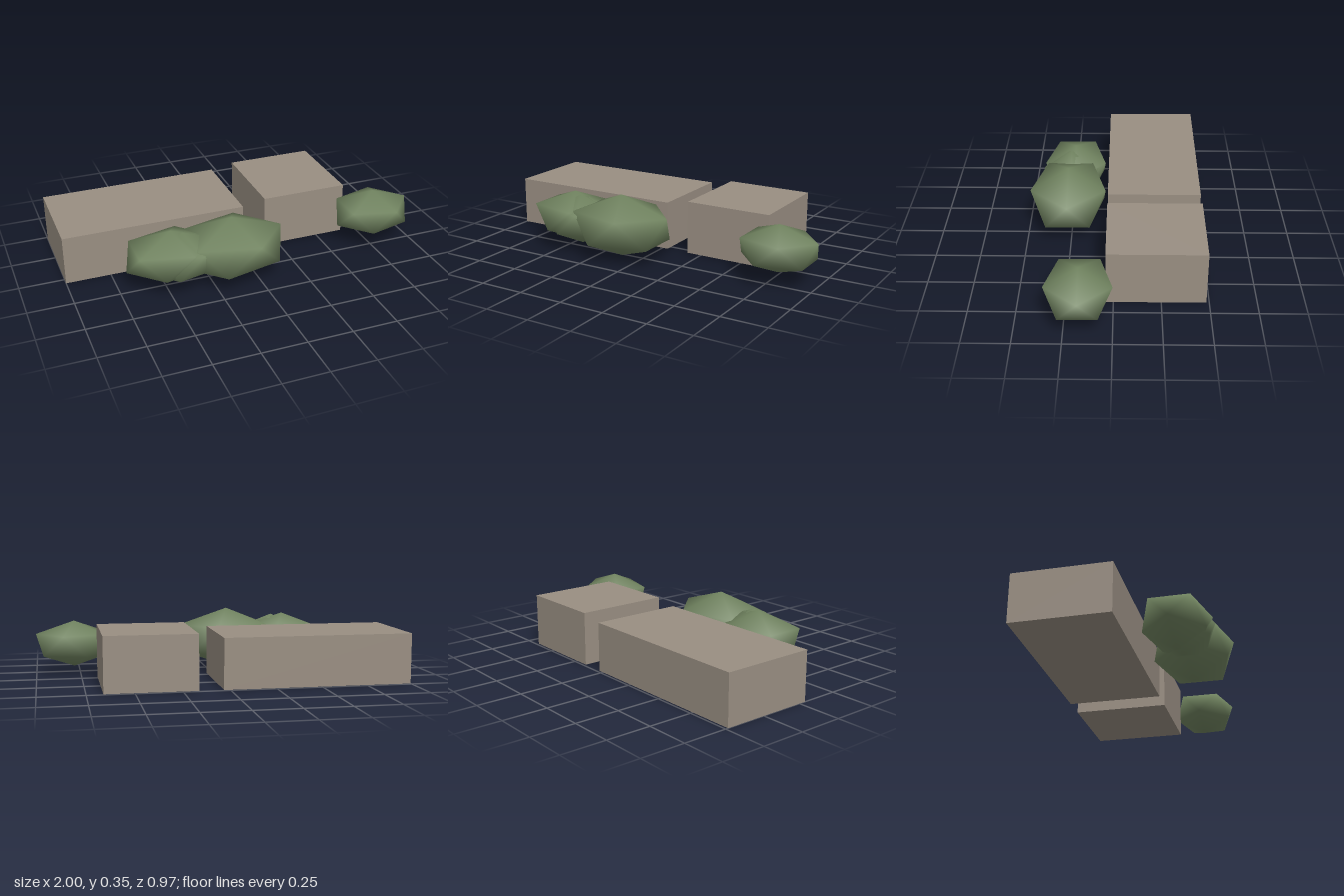
import * as THREE from 'three';

const stone = new THREE.MeshStandardMaterial({ name: 'stone', color: 0x998e82 });
const foliage = new THREE.MeshStandardMaterial({ name: 'foliage', color: 0x718460 });

// Block given by its x range and height; all share the same depth
function makeBlock(name, x0, x1, height) {
  const z0 = -0.485, z1 = 0.04;
  const mesh = new THREE.Mesh(new THREE.BoxGeometry(x1 - x0, height, z1 - z0), stone);
  mesh.position.set((x0 + x1) / 2, height / 2, (z0 + z1) / 2);
  mesh.name = name;
  return mesh;
}

// Smooth-shaded, twelve-point icosahedron with its poles upright, stretched to the radii
function makeBush(name, center, [rx, ry, rz]) {
  const points = [0, ry, 0];
  const ringRadius = 2 / Math.sqrt(5), ringHeight = 1 / Math.sqrt(5);
  for (const [side, offset, squeeze] of [[1, 0, 1], [-1, 0.5, 0.94]]) {
    for (let i = 0; i < 5; i++) {
      const a = ((i + offset) / 5) * Math.PI * 2;
      points.push(
        rx * ringRadius * Math.cos(a),
        ry * ringHeight * side,
        rz * ringRadius * Math.sin(a) * squeeze
      );
    }
  }
  points.push(0, -ry, 0);

  // Top cap, zigzag belt and bottom cap
  const faces = [];
  for (let i = 0; i < 5; i++) {
    const u = 1 + i, un = 1 + (i + 1) % 5;
    const l = 6 + i, ln = 6 + (i + 1) % 5;
    faces.push(0, un, u, u, un, l, un, ln, l, l, ln, 11);
  }
  const geometry = new THREE.BufferGeometry();
  geometry.setAttribute('position', new THREE.Float32BufferAttribute(points, 3));
  geometry.setIndex(faces);
  geometry.computeVertexNormals();

  const mesh = new THREE.Mesh(geometry, foliage);
  mesh.position.set(...center);
  mesh.name = name;
  return mesh;
}

export function createModel() {
  const model = new THREE.Group();
  model.name = 'blocksWithBushes';
  model.add(
    makeBlock('longBlock', -1, 0.033, 0.275),
    makeBlock('shortBlock', 0.165, 0.662, 0.3),
    makeBush('largeBush', [-0.125, 0.179, 0.269], [0.325, 0.176, 0.253]),
    makeBush('outerBush', [-0.46, 0.181, 0.241], [0.28, 0.142, 0.212]),
    makeBush('innerBush', [-0.4, 0.172, 0.265], [0.24, 0.142, 0.19]),
    makeBush('smallBush', [0.784, 0.176, 0.174], [0.241, 0.131, 0.204])
  );
  return model;
}
